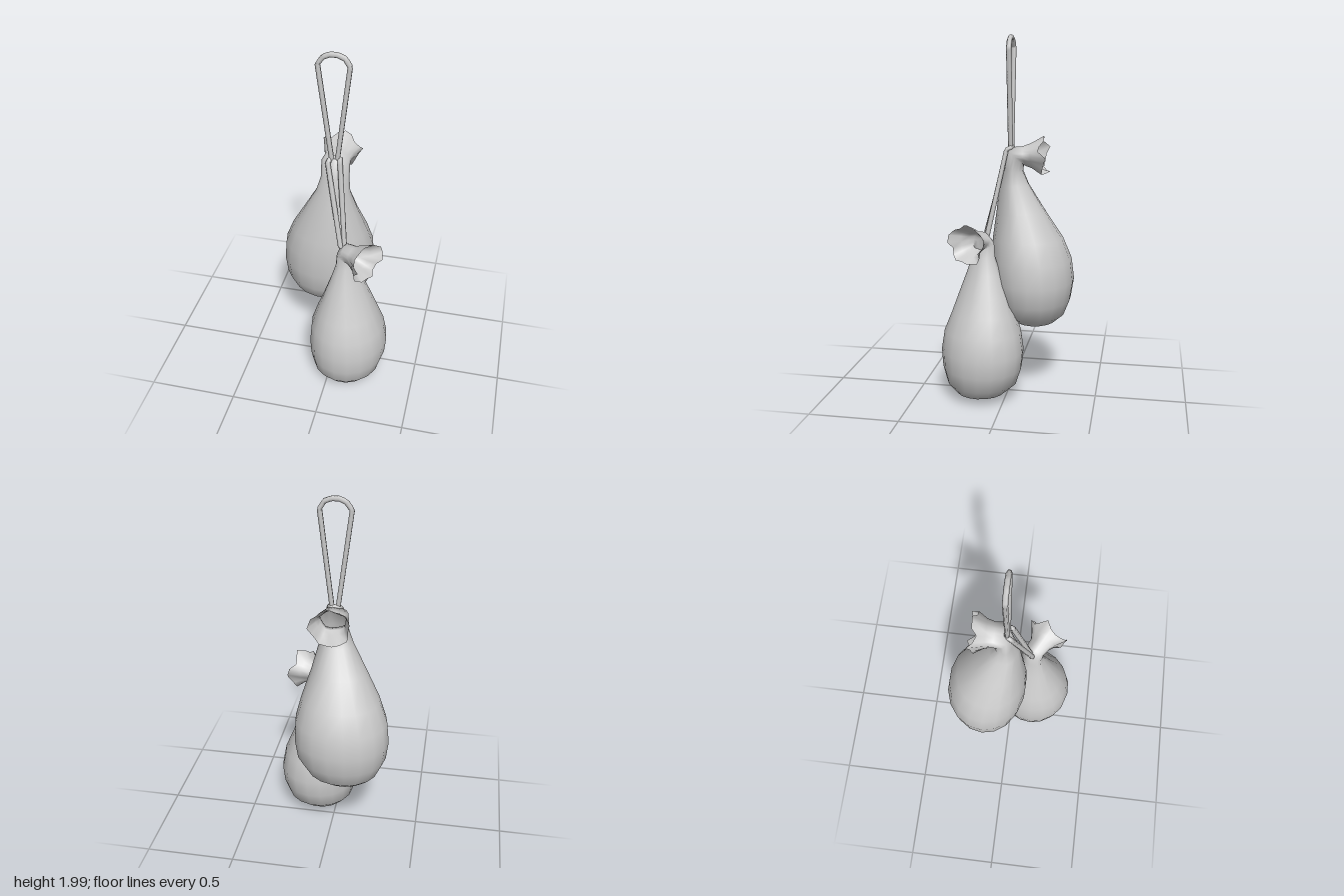
import * as THREE from 'three';

const SIDES = 18;
const cloth = new THREE.MeshStandardMaterial({ color: 0xcccccc, side: THREE.DoubleSide });
const cord = new THREE.MeshStandardMaterial({ color: 0xcccccc });

// Sack lofted through rings [x, y, z, sideRadius, forwardRadius, tilt, pleat, jag].
// Tilt leans the ring from upright towards the horizontal direction (dx, dz).
function sack(name, dx, dz, rings, phase) {
  const up = new THREE.Vector3(0, 1, 0);
  const d = new THREE.Vector3(dx, 0, dz).normalize();
  const side = new THREE.Vector3().crossVectors(d, up);
  const pos = [], index = [];
  for (const [x, y, z, rs, rf, tilt = 0, pleat = 0, jag = 0] of rings) {
    const fwd = d.clone().multiplyScalar(Math.cos(tilt)).addScaledVector(up, -Math.sin(tilt));
    const axis = up.clone().multiplyScalar(Math.cos(tilt)).addScaledVector(d, Math.sin(tilt));
    for (let i = 0; i < SIDES; i++) {
      const a = (i / SIDES) * Math.PI * 2;
      const k = 1 + pleat * Math.cos(5 * a + phase);
      const p = new THREE.Vector3(x, y, z)
        .addScaledVector(side, rs * k * Math.cos(a))
        .addScaledVector(fwd, rf * k * Math.sin(a))
        .addScaledVector(axis, jag * (Math.sin(4 * a + phase) + 0.5 * Math.cos(7 * a)));
      pos.push(p.x, p.y, p.z);
    }
  }
  for (let j = 0; j < rings.length - 1; j++) {
    for (let i = 0; i < SIDES; i++) {
      const n = (i + 1) % SIDES;
      const a = j * SIDES + i, b = j * SIDES + n, c = b + SIDES, e = a + SIDES;
      index.push(a, b, c, a, c, e);
    }
  }
  // Closed bottom
  const [bx, by, bz] = rings[0];
  const centre = pos.length / 3;
  pos.push(bx, by - 0.004, bz);
  for (let i = 0; i < SIDES; i++) index.push(centre, (i + 1) % SIDES, i);

  const geo = new THREE.BufferGeometry();
  geo.setAttribute('position', new THREE.Float32BufferAttribute(pos, 3));
  geo.setIndex(index);
  geo.computeVertexNormals();
  const mesh = new THREE.Mesh(geo, cloth);
  mesh.name = name;
  return mesh;
}

// Cord running straight between points, closed into a loop
function loop(name, points, radius) {
  const curve = new THREE.CatmullRomCurve3(points.map(p => new THREE.Vector3(...p)), true, 'catmullrom', 0);
  const mesh = new THREE.Mesh(new THREE.TubeGeometry(curve, 90, radius, 6, true), cord);
  mesh.name = name;
  return mesh;
}

export function createModel() {
  const group = new THREE.Group();
  group.name = 'hangingSacks';

  // Upper sack, its mouth folded to the back
  group.add(sack('upperSack', 0, -1, [
    [-0.09, 0.394, -0.15, 0.07, 0.06],
    [-0.08, 0.42, -0.145, 0.15, 0.12],
    [-0.075, 0.46, -0.14, 0.2, 0.17],
    [-0.067, 0.55, -0.135, 0.25, 0.21],
    [-0.066, 0.66, -0.135, 0.264, 0.227],
    [-0.062, 0.78, -0.125, 0.255, 0.222],
    [-0.055, 0.9, -0.105, 0.215, 0.195, 0, 0.01],
    [-0.04, 1.05, -0.07, 0.15, 0.135, 0, 0.03],
    [-0.02, 1.2, -0.035, 0.09, 0.08, 0, 0.05],
    [-0.01, 1.28, -0.033, 0.075, 0.05, 0.1, 0.06],
    [-0.01, 1.36, -0.045, 0.075, 0.06, 0.8, 0.06],
    [-0.01, 1.358, -0.09, 0.07, 0.053, 1.4, 0.06],
    [-0.01, 1.36, -0.13, 0.08, 0.066, 1.5, 0.08],
    [-0.01, 1.362, -0.195, 0.106, 0.1, 1.5, 0.1, 0.018],
  ], 0.6));

  // Lower sack, its mouth folded to the front left
  group.add(sack('lowerSack', 0.88, 0.47, [
    [0.1, 0.008, 0.14, 0.06, 0.06],
    [0.097, 0.04, 0.138, 0.14, 0.14],
    [0.1, 0.1, 0.13, 0.198, 0.193],
    [0.106, 0.19, 0.127, 0.225, 0.213],
    [0.108, 0.29, 0.125, 0.234, 0.219],
    [0.102, 0.4, 0.125, 0.217, 0.204],
    [0.097, 0.5, 0.122, 0.18, 0.167],
    [0.095, 0.6, 0.12, 0.143, 0.13, 0, 0.02],
    [0.09, 0.72, 0.12, 0.098, 0.085, 0, 0.04],
    [0.09, 0.82, 0.12, 0.065, 0.053, 0.1, 0.06],
    [0.088, 0.885, 0.118, 0.06, 0.048, 0.5, 0.06],
    [0.105, 0.905, 0.13, 0.055, 0.05, 1.1, 0.06],
    [0.14, 0.905, 0.15, 0.06, 0.056, 1.45, 0.07],
    [0.175, 0.906, 0.167, 0.08, 0.075, 1.5, 0.08],
    [0.22, 0.906, 0.19, 0.117, 0.103, 1.5, 0.1, 0.018],
  ], 2.2));

  // Hanging loop
  group.add(loop('hangingLoop', [
    [-0.022, 1.38, -0.015], [-0.094, 1.93, -0.015], [-0.065, 1.97, -0.015], [-0.03, 1.985, -0.015],
    [0.01, 1.985, -0.015], [0.045, 1.97, -0.015], [0.07, 1.93, -0.015], [0.005, 1.38, -0.015],
  ], 0.014));

  // Sling tying the lower sack to the upper neck
  group.add(loop('slingCord', [
    [-0.04, 1.385, 0.008], [0.055, 0.925, 0.115], [0.075, 0.92, 0.105],
    [0.025, 1.395, 0.005], [0.02, 1.405, -0.02], [-0.03, 1.405, -0.02],
  ], 0.014));

  return group;
}
